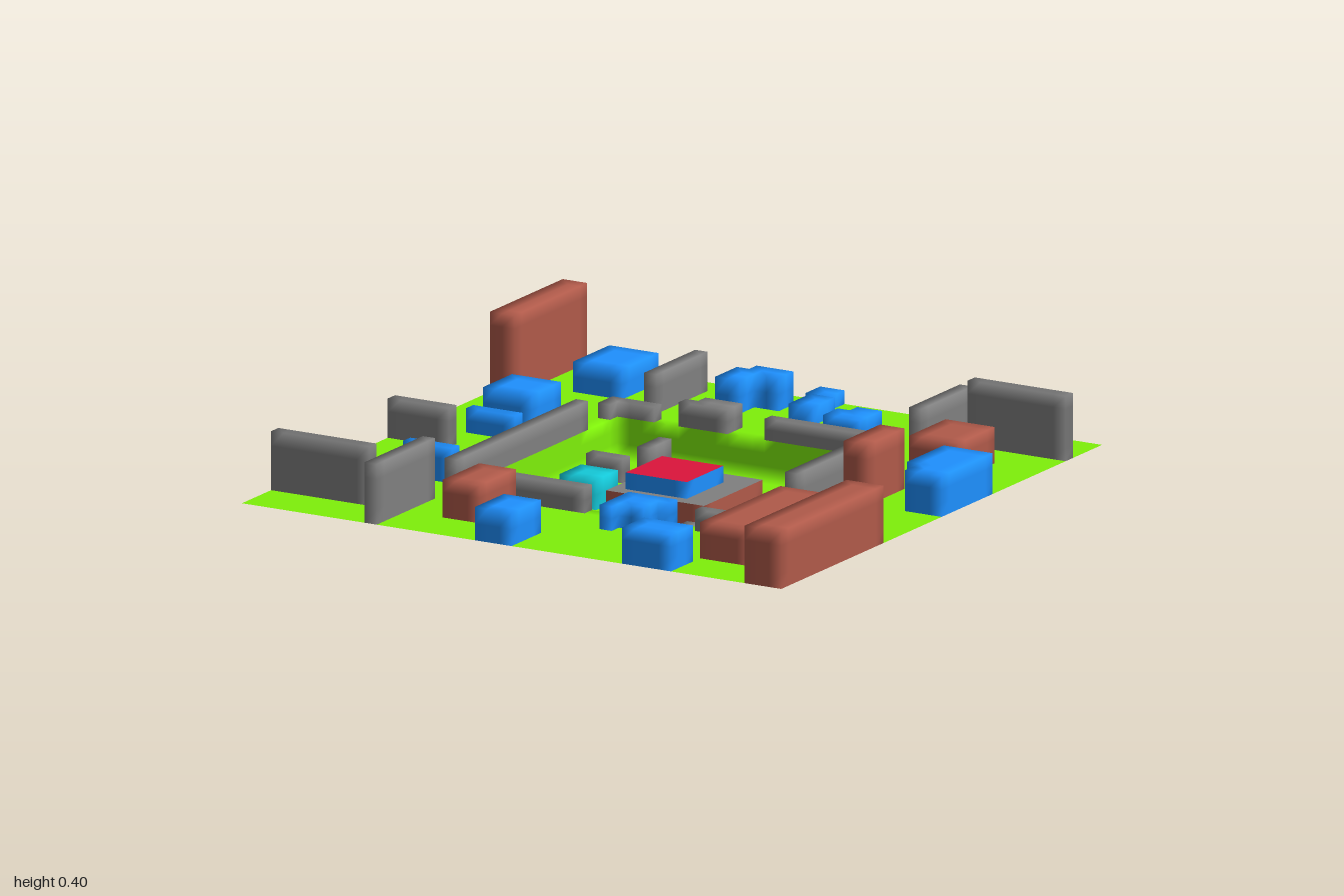
import * as THREE from 'three';
import { mergeVertices } from 'three/addons/utils/BufferGeometryUtils.js';

const U = 1 / 22;   // one plan cell
const D = 0.13;     // level of the upper ground; the pit floor is y = 0

const mat = (color) => new THREE.MeshStandardMaterial({ color, side: THREE.DoubleSide });
const GREEN = mat(0x7ff00a), GREY = mat(0x808080), BROWN = mat(0xb05a4a);
const BLUE = mat(0x1e90ff), CYAN = mat(0x14c8d8), RED = mat(0xdc143c);

// Collects quads (x, z in cells, y in units) and welds them into a smooth mesh
class Quads {
  constructor() { this.p = []; }
  add(a, b, c, d) {
    for (const [x, y, z] of [a, b, c, a, c, d]) this.p.push(x * U, y, z * U);
  }
  mesh(name, material) {
    const g = new THREE.BufferGeometry();
    g.setAttribute('position', new THREE.Float32BufferAttribute(this.p, 3));
    const welded = mergeVertices(g, 1e-4);
    welded.computeVertexNormals();
    const m = new THREE.Mesh(welded, material);
    m.name = name;
    return m;
  }
}

// A footprint is a list of rectangles [x0, x1, z0, z1]
const inside = (rects, x, z) => rects.some(([a, b, c, d]) => x > a && x < b && z > c && z < d);

function eachCell(rects, fn) {
  for (let x = -22; x < 22; x++)
    for (let z = -22; z < 22; z++)
      if (inside(rects, x + 0.5, z + 0.5)) fn(x, z);
}

function addTop(q, rects, y, hole = []) {
  eachCell(rects, (x, z) => {
    if (inside(hole, x + 0.5, z + 0.5)) return;
    q.add([x, y, z], [x, y, z + 1], [x + 1, y, z + 1], [x + 1, y, z]);
  });
}

function addWalls(q, rects, y0, y1) {
  const n = Math.max(1, Math.round((y1 - y0) / U));
  const wall = (ax, az, bx, bz) => {
    for (let i = 0; i < n; i++) {
      const lo = y0 + ((y1 - y0) * i) / n, hi = y0 + ((y1 - y0) * (i + 1)) / n;
      q.add([ax, lo, az], [bx, lo, bz], [bx, hi, bz], [ax, hi, az]);
    }
  };
  eachCell(rects, (x, z) => {
    const open = (dx, dz) => !inside(rects, x + 0.5 + dx, z + 0.5 + dz);
    if (open(0, 1)) wall(x, z + 1, x + 1, z + 1);
    if (open(0, -1)) wall(x + 1, z, x, z);
    if (open(1, 0)) wall(x + 1, z + 1, x + 1, z);
    if (open(-1, 0)) wall(x, z, x, z + 1);
  });
}

// Ground level in a cell with centre (cx, cz), taken at height of corner z
const STEPS = 9, STAIR_X0 = 4, STAIR_X1 = 10;
function level(cx, cz, z) {
  if (Math.abs(cx) > 11 || Math.abs(cz) > 11) return D;
  if (cz < -8 && cx > STAIR_X0) {
    const k = Math.floor(((cx - STAIR_X0) / (STAIR_X1 - STAIR_X0)) * STEPS + 1e-6) + 1;
    return (D * Math.min(k, STEPS)) / STEPS;
  }
  if (cx < -9 && cz > 5) return (D * (z - 5)) / 6;
  return 0;
}

// Ground sheet with sunken court, stairs and ramp; open beneath each block
function makeGround(holes) {
  const q = new Quads();
  const zs = Array.from({ length: 45 }, (_, i) => i - 22);
  const xs = [...zs];
  for (let i = 0; i <= STEPS; i++) {
    const x = STAIR_X0 + ((STAIR_X1 - STAIR_X0) * i) / STEPS;
    if (!xs.some((v) => Math.abs(v - x) < 1e-6)) xs.push(x);
  }
  xs.sort((a, b) => a - b);
  const n = 3;
  const strip = (p, r, a0, a1, b0, b1) => {
    if (Math.abs(a0 - b0) + Math.abs(a1 - b1) < 1e-6) return;
    for (let i = 0; i < n; i++) {
      const y = (a, b, k) => a + ((b - a) * k) / n;
      q.add([p[0], y(a0, b0, i), p[1]], [r[0], y(a1, b1, i), r[1]],
        [r[0], y(a1, b1, i + 1), r[1]], [p[0], y(a0, b0, i + 1), p[1]]);
    }
  };
  for (let i = 0; i < xs.length - 1; i++) {
    for (let j = 0; j < 44; j++) {
      const x0 = xs[i], x1 = xs[i + 1], z0 = zs[j], z1 = zs[j + 1];
      const cx = (x0 + x1) / 2, cz = (z0 + z1) / 2;
      const h0 = level(cx, cz, z0), h1 = level(cx, cz, z1);
      if (!inside(holes, cx, cz)) q.add([x0, h0, z0], [x0, h1, z1], [x1, h1, z1], [x1, h0, z0]);
      if (i < xs.length - 2) {
        const nx = (x1 + xs[i + 2]) / 2;
        strip([x1, z0], [x1, z1], h0, h1, level(nx, cz, z0), level(nx, cz, z1));
      }
      if (j < 43) {
        const f = level(cx, cz + 1, z1);
        strip([x0, z1], [x1, z1], f, f, h1, h1);
      }
    }
  }
  return q.mesh('ground', GREEN);
}

// [top height, footprint rectangles...]
const brownBlocks = [
  [0.395, [-22, -20, -22, -12]], [0.25, [14, 18, -14, -9]], [0.33, [14, 16, -5, 0]],
  [0.25, [13, 17, 7, 18]], [0.32, [19, 22, 8, 22]], [0.255, [-8, -5, 13, 18]],
];
const blueBlocks = [
  [0.23, [-17, -13, -20, -15]], [0.23, [-19, -15, -10, -6]], [0.21, [-18, -14, -3, -2]],
  [0.245, [-16, -12, 9, 10]], [0.24, [-6, -4, -19, -16], [-5, -2, -20, -18]],
  [0.175, [-1, 1, -22, -20]], [0.19, [0, 2, -19, -16]],
  [0.2, [4, 7, -16, -14], [5, 7, -17, -14]], [0.265, [18, 22, -7, -2], [19, 22, -2, 0]],
  [0.225, [17, 19, 3, 5]], [0.21, [3, 7, 11, 12], [3, 6, 12, 14], [3, 4, 14, 15]],
  [0.24, [-3, 0, 18, 22]], [0.25, [9, 13, 19, 22]],
];
const greyWalls = [
  [0.26, [-10, -9, -20, -13]], [0.27, [11, 12, -21, -14]], [0.345, [14, 22, -18, -17]],
  [0.26, [-22, -17, 1, 2]], [0.325, [-22, -14, 17, 18]], [0.33, [-12, -11, 14, 22]],
  [0.225, [-12, -11, -7, 11]], [0.18, [-12, -8, -12, -11], [-12, -11, -12, -10]],
  [0.21, [-6, -2, -12, -11], [-5, -2, -13, -11]], [0.2, [1, 10, -12, -11]],
  [0.24, [11, 12, -8, 3]], [0.185, [11, 12, 5, 7]],
  [0.2, [11, 12, 9, 12], [9, 12, 11, 12]], [0.215, [-9, 0, 11, 12]],
];
const courtWalls = [
  [0.1, [6, 7, 8, 11]], [0.1, [8, 10, 6, 8]], [0.1, [-7, -6, -10, -7]], [0.08, [-10, -7, -6, -5]],
];
const courtCrate = [[0.1, [-8, -5, -1, 2]]];

export function createModel() {
  const model = new THREE.Group();
  model.name = 'arena';
  const plinth = [[-3, 5, -4, 4]], dais = [[-2, 3, -2, 3]];
  const holes = [...plinth];

  const addBlocks = (name, blocks, base, material) => {
    const group = new THREE.Group();
    group.name = name + 's';
    for (const [y, ...rects] of blocks) {
      const q = new Quads();
      addTop(q, rects, y);
      addWalls(q, rects, base, y);
      group.add(q.mesh(name, material));
      holes.push(...rects);
    }
    model.add(group);
  };
  addBlocks('brownBlock', brownBlocks, D, BROWN);
  addBlocks('blueBlock', blueBlocks, D, BLUE);
  addBlocks('greyWall', greyWalls, D, GREY);
  addBlocks('courtWall', courtWalls, 0, GREY);
  addBlocks('courtCrate', courtCrate, 0, CYAN);

  // Stepped platform in the middle of the court
  const platform = new THREE.Group();
  platform.name = 'platform';
  const part = (name, material, build) => {
    const q = new Quads();
    build(q);
    platform.add(q.mesh(name, material));
  };
  part('plinthSides', BROWN, (q) => addWalls(q, plinth, 0, 0.1));
  part('plinthTop', GREY, (q) => addTop(q, plinth, 0.1, dais));
  part('daisSides', BLUE, (q) => addWalls(q, dais, 0.1, 0.155));
  part('daisTop', RED, (q) => addTop(q, dais, 0.155));
  model.add(platform);

  model.add(makeGround(holes));
  return model;
}
